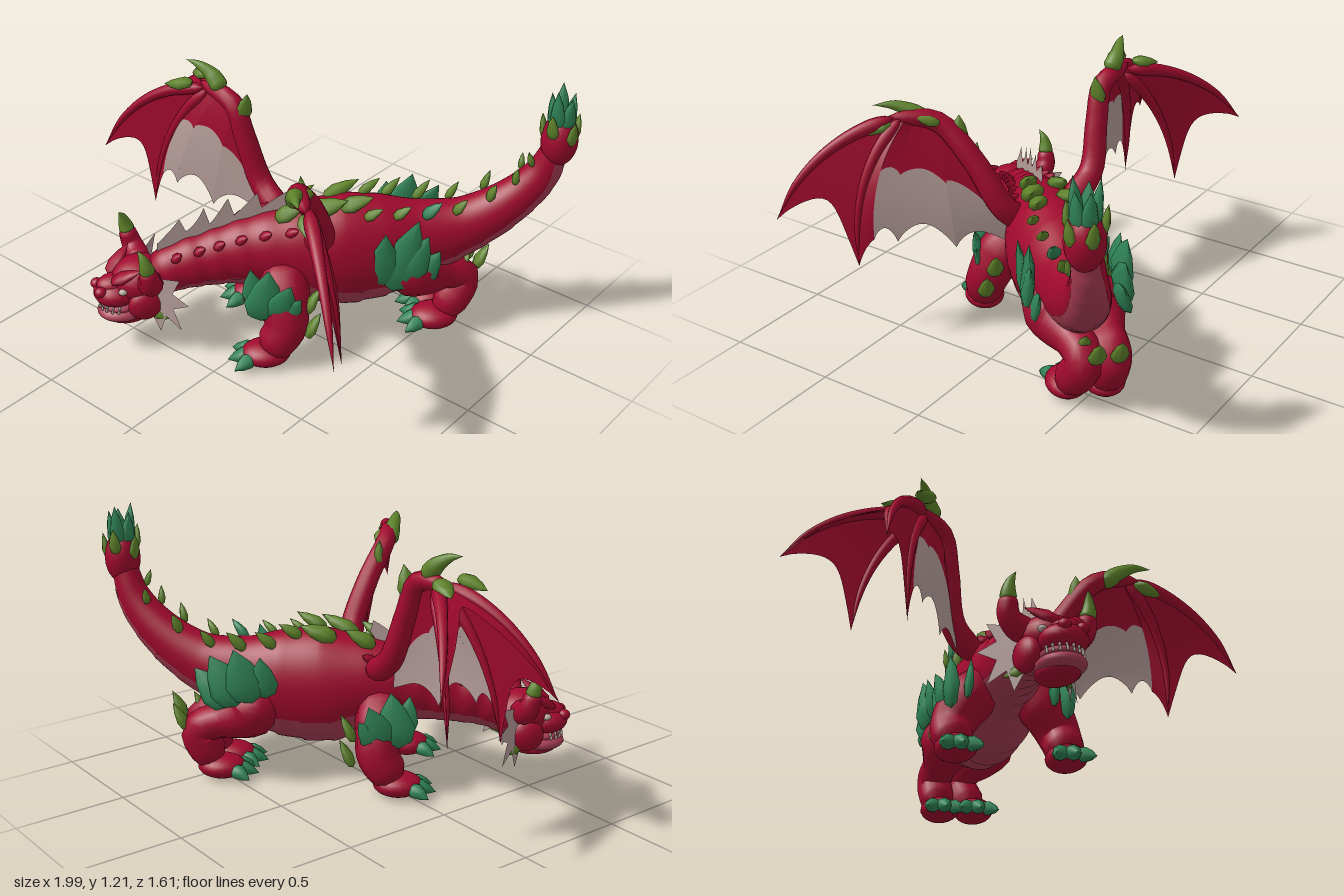
import * as THREE from 'three';
import { mergeVertices } from 'three/addons/utils/BufferGeometryUtils.js';

const V = (x, y, z) => new THREE.Vector3(x, y, z);
const vec = (a) => V(...a);
const paint = (name, color, side = THREE.FrontSide) => {
  const m = new THREE.MeshStandardMaterial({ color, side });
  m.name = name;
  return m;
};

export function createModel() {
  const root = new THREE.Group();
  root.name = 'dragon';
  const red = paint('crimson hide', 0xa0092e, THREE.DoubleSide);
  const pink = paint('rose belly', 0xa83c54, THREE.DoubleSide);
  const pale = paint('pale membrane', 0xb59d9a, THREE.DoubleSide);
  const teal = paint('teal plate', 0x2f8256);
  const olive = paint('olive spike', 0x5e832a);
  const ivory = paint('ivory teeth', 0xb8a8a0);

  const add = (name, geo, mat, parent = root) => {
    const m = new THREE.Mesh(geo, mat);
    m.name = name;
    parent.add(m);
    return m;
  };
  // Smooth grid surface; it faces along du x dv
  const surf = (fn, nu, nv) => {
    const pos = [], idx = [], w = nv + 1;
    for (let i = 0; i <= nu; i++) for (let j = 0; j <= nv; j++) pos.push(...fn(i / nu, j / nv).toArray());
    for (let i = 0; i < nu; i++) for (let j = 0; j < nv; j++) {
      const a = i * w + j, b = a + w;
      idx.push(a, b, a + 1, b, b + 1, a + 1);
    }
    let g = new THREE.BufferGeometry();
    g.setAttribute('position', new THREE.Float32BufferAttribute(pos, 3));
    g.setIndex(idx);
    g = mergeVertices(g, 1e-5);
    g.computeVertexNormals();
    return g;
  };
  // Rounded limb through points with a radius at each
  const limb = (name, pts, radii, mat, parent = root) => {
    const c = new THREE.CatmullRomCurve3(pts.map(vec)), n = 20, f = c.computeFrenetFrames(n);
    const g = surf((u, v) => {
      const i = Math.round(u * n), s = u * (radii.length - 1), k = Math.min(Math.floor(s), radii.length - 2);
      const r = THREE.MathUtils.lerp(radii[k], radii[k + 1], s - k) * Math.min(1, Math.sqrt(Math.min(u, 1 - u) * 8));
      const a = v * Math.PI * 2;
      return c.getPointAt(u).addScaledVector(f.normals[i], r * Math.cos(a)).addScaledVector(f.binormals[i], -r * Math.sin(a));
    }, n, 12);
    return add(name, g, mat, parent);
  };
  const ball = (name, p, r, mat, parent = root) => {
    const m = add(name, new THREE.SphereGeometry(1, 20, 14), mat, parent);
    m.position.set(...p);
    m.scale.set(...r);
    return m;
  };
  // Flattened pointed scale: grows along dir, flat side faces normal
  const leafGeo = new THREE.LatheGeometry([[0, 0], [0.36, 0.1], [0.5, 0.35], [0.32, 0.7], [0, 1]].map(p => new THREE.Vector2(...p)), 8);
  const leaf = (name, mat, p, dir, normal, len, width, thick = 0.45, parent = root) => {
    const m = add(name, leafGeo, mat, parent);
    const y = vec(dir).normalize(), x = y.clone().cross(vec(normal)).normalize(), z = x.clone().cross(y);
    m.quaternion.setFromRotationMatrix(new THREE.Matrix4().makeBasis(x, y, z));
    m.position.set(...p);
    m.scale.set(width, len, width * thick);
    return m;
  };

  // Spine from neck to tail: centre, half width, half height
  const spine = [
    [-.40, .29, .50, .08, .08], [-.31, .37, .40, .10, .11], [-.20, .41, .28, .115, .13], [-.08, .44, .16, .135, .16],
    [.05, .45, .03, .17, .2], [.20, .425, -.12, .195, .265], [.33, .43, -.26, .18, .245], [.46, .46, -.40, .14, .18],
    [.60, .52, -.53, .11, .13], [.74, .64, -.64, .09, .1], [.84, .78, -.705, .07, .078], [.89, .93, -.725, .055, .055]];
  const path = new THREE.CatmullRomCurve3(spine.map(s => V(s[0], s[1], s[2])));
  const girth = new THREE.CatmullRomCurve3(spine.map(s => V(s[3], s[4], 0)));
  const frame = (t) => {
    const fwd = path.getTangent(t).negate(), left = V(0, 1, 0).cross(fwd).normalize();
    return { fwd, left, up: fwd.clone().cross(left), c: path.getPoint(t), g: girth.getPoint(t) };
  };
  const skin = (t, a, k = 1) => {
    const { c, g, left, up } = frame(t);
    return c.addScaledVector(left, Math.cos(a) * g.x * k).addScaledVector(up, Math.sin(a) * g.y * k);
  };
  const D = Math.PI / 180;
  // Hide with neck folds that fade at the shoulders
  const fold = (t) => 1 + 0.05 * Math.max(0, 1 - t / 0.4) * Math.sin(t * 105);
  add('body', surf((u, v) => skin(u, (-30 + v * 240) * D, fold(u)), 110, 28), red);
  add('belly', surf((u, v) => skin(u, (208 + v * 124) * D, 1 + 0.035 * ((u * 20) % 1)), 120, 14), pink);

  // Back spikes in two rows: position along the spine, length, material
  const rows = {
    1: [[.33, .16, olive], [.38, .2, olive], [.44, .16, olive], [.5, .1, olive], [.57, .1, olive], [.64, .12, teal], [.71, .1, olive], [.79, .1, olive], [.86, .09, olive], [.93, .08, olive]],
    '-1': [[.35, .16, olive], [.41, .18, olive], [.5, .12, olive], [.56, .12, olive], [.63, .12, olive], [.7, .1, olive], [.78, .1, olive], [.88, .08, olive]],
  };
  for (const s of [-1, 1]) rows[s].forEach(([t, len, mat], i) => {
    const f = frame(t), out = f.up.clone().addScaledVector(f.left, s * 0.4);
    const dir = f.fwd.clone().multiplyScalar(-1).addScaledVector(out, i < 3 ? 0.6 : 0.7);
    leaf('backSpike', mat, skin(t, (90 - s * (i < 3 ? 18 : 34)) * D, 0.96).toArray(), dir.toArray(), out.toArray(), len, len * .55, 0.7);
  });
  // Neck studs and crest
  for (let i = 0; i < 6; i++) for (const s of [-1, 1]) {
    const t = 0.1 + i * 0.05, f = frame(t), out = f.up.clone().addScaledVector(f.left, s);
    leaf('neckStud', red, skin(t, (90 - s * 45) * D, 0.9).toArray(), out.addScaledVector(f.fwd, -1.2).toArray(), f.up.toArray(), 0.075, 0.055, 0.8);
  }
  add('neckCrest', surf((u, v) => {
    const t = 0.07 + u * 0.28, h = 0.045 + 0.1 * ((u * 5) % 1) ** 1.3 * (0.5 + 0.5 * Math.sin(u * 3));
    const f = frame(t);
    return skin(t, 90 * D, 0.95).addScaledVector(f.up, h * v).addScaledVector(f.fwd, -0.03 * v);
  }, 60, 1), pale);

  // Tail tip: bulb, olive ring, teal crystals
  ball('tailBulb', [.9, .965, -.725], [.08, .12, .08], red);
  for (let i = 0; i < 5; i++) {
    const a = i * Math.PI * .4 + .3, c = Math.cos(a), s = Math.sin(a);
    leaf('tailSpike', olive, [.9 + c * .066, .96 + (i % 2) * .03, -.725 + s * .066], [c * .14, 1, s * .14], [c, 0, s], .12, .06, .6);
    leaf('tailCrystal', teal, [.9 + c * .028, 1.0, -.725 + s * .028], [c * .13, 1, s * .13], [c, 0, s], i % 2 ? .21 : .18, .075, .7);
  }

  // Legs
  const mirror = ([x, y, z]) => [.08 - z, y, .08 - x];
  const leg = (name, pts, radii) => {
    const g = new THREE.Group();
    g.name = name;
    root.add(g);
    limb(name + 'Limb', pts, radii, red, g);
    const [x, , z] = pts[pts.length - 1];
    const foot = ball(name + 'Foot', [x, .055, z], [.09, .055, .11], red, g);
    foot.rotation.y = -Math.PI / 4;
    for (const k of [-1, 0, 1]) {
      const a = -Math.PI / 4 + k * .55, dx = Math.sin(a), dz = Math.cos(a);
      leaf('claw', teal, [x + dx * .06, .06, z + dz * .06], [dx, -.32, dz], [0, 1, 0], .115, .075, .9, g);
    }
  };
  const front = [[.07, .42, .1], [.14, .31, .19], [.19, .18, .24], [.13, .06, .3]];
  const frontR = [.09, .115, .095, .08];
  leg('frontLeftLeg', front, frontR);
  leg('frontRightLeg', front.map(mirror).map(([x, y, z]) => [x, y, z + .02]), frontR);
  const hindR = [.1, .125, .08, .085, .08];
  leg('hindLeftLeg', [[.42, .46, -.22], [.48, .33, -.31], [.585, .24, -.53], [.57, .12, -.47], [.53, .06, -.41]], hindR);
  leg('hindRightLeg', [[.28, .46, -.4], [.33, .33, -.43], [.49, .23, -.6], [.47, .12, -.57], [.43, .06, -.53]], hindR);
  // Olive spurs behind elbows and hocks
  for (const [x, y, z] of [[.61, .25, -.6], [.57, .24, -.51], [.52, .23, -.65], [.27, .14, .19], [.24, .24, .16], mirror([.27, .14, .19]), mirror([.24, .24, .16])])
    leaf('legSpur', olive, [x, y, z], [.35, 1, -.35], [.7, 0, -.7], .14, .08, .6);

  // Shoulder and hip plates: start, direction, length, width, upward tilt; mirrored outward
  const plates = (name, list, s, tilt) => list.forEach(([p, d, l, w]) => leaf(name, teal, p, d, [s, tilt, s], l, w, .4));
  const shoulder = [[[.12, .23, .32], [.1, 1, -.1], .26, .17], [[.17, .25, .29], [.4, 1, -.15], .2, .13], [[.06, .27, .29], [-.12, 1, .02], .18, .1], [[.2, .24, .27], [.6, 1, -.3], .15, .1]];
  plates('shoulderPlate', shoulder, 1, .25);
  plates('shoulderPlate', shoulder.map(([p, d, l, w]) => [mirror(p), [-d[2], d[1], -d[0]], l, w]), -1, .25);
  plates('hipPlate', [[[.46, .28, -.17], [.22, 1, -.18], .38, .18], [[.43, .31, -.14], [.08, 1, .08], .29, .14], [[.5, .33, -.19], [.32, 1, -.32], .26, .15], [[.54, .32, -.25], [.4, 1, -.5], .18, .12]], 1, .35);
  plates('hipPlate', [[[.24, .4, -.48], [.18, 1, -.25], .26, .18], [[.29, .38, -.52], [.45, 1, -.35], .26, .17], [[.33, .37, -.55], [.8, 1, -.5], .23, .14], [[.21, .42, -.43], [-.05, 1, -.15], .2, .13]], -1, .8);

  // Wings: fingers run from the arm (o) to the trailing edge (e), bowed by b
  const wing = (name, arm, fingers, panels) => {
    const g = new THREE.Group();
    g.name = name;
    root.add(g);
    limb(name + 'Arm', arm, [.065, .055, .05, .045, .03], red, g);
    const at = (f0, f1, u, v) => {
      const mix = (k) => vec(f0[k]).lerp(vec(f1[k]), u);
      const o = mix('o'), e = mix('e'), c = o.clone().lerp(e, .5).add(mix('b'));
      return o.multiplyScalar((1 - v) ** 2).addScaledVector(c, 2 * v * (1 - v)).addScaledVector(e, v * v);
    };
    fingers.filter(f => f.r).forEach((f) => limb('wingFinger', [0, .25, .5, .75, 1].map(v => at(f, f, 0, v).toArray()), [f.r, f.r * .8, f.r * .6, f.r * .4, 0], red, g));
    panels.forEach(([sag, share], i) => {
      const part = (a, b) => surf((u, v) => at(fingers[i], fingers[i + 1], u, (a + v * (b - a)) * (1 - sag * Math.sin(Math.PI * u) ** .8)), 14, 12);
      add('wingSkin', part(0, share), red, g);
      if (share < 1) add('wingMembrane', part(share, 1), pale, g);
    });
    return g;
  };
  wing('rightWing',
    [[-.02, .52, -.03], [-.2, .63, -.06], [-.28, .85, -.04], [-.34, 1.0, -.03], [-.55, 1.04, -.04]],
    [{ o: [-.48, 1.02, -.06], e: [-.74, .42, -.2], b: [-.1, .06, -.05], r: .03 },
      { o: [-.5, 1.03, -.06], e: [-.95, .72, -.42], b: [-.09, .12, -.04], r: .035 },
      { o: [-.5, 1.03, -.02], e: [-1, .63, .15], b: [-.11, .14, 0], r: .035 },
      { o: [-.48, 1.03, -.03], e: [-.75, .39, .08], b: [-.12, .08, .02], r: .03 },
      { o: [-.46, 1.03, -.03], e: [-.7, .55, .07], b: [-.09, .05, .03] },
      { o: [-.42, 1.02, -.03], e: [-.62, .53, .06], b: [-.06, .03, .04] },
      { o: [-.33, .98, -.03], e: [-.43, .47, .02], b: [-.02, 0, .03] },
      { o: [-.22, .66, -.05], e: [-.2, .5, -.04], b: [0, 0, 0] }],
    [[.25, 1], [.72, 1], [.25, 1], [.03, 1], [.08, .42], [.18, .38], [.18, .38]]);
  wing('leftWing',
    [[.12, .5, .03], [.26, .6, .08], [.31, .82, .21], [.36, .98, .36], [.52, 1.02, .5]],
    [{ o: [.5, 1.02, .47], e: [.9, .62, .8], b: [.08, .12, .08], r: .035 },
      { o: [.48, 1.02, .45], e: [.72, .40, .52], b: [.11, .09, .08], r: .03 },
      { o: [.46, 1.02, .43], e: [.67, .52, .47], b: [.11, .06, .03] },
      { o: [.43, 1.01, .42], e: [.6, .5, .4], b: [.09, .03, -.01] },
      { o: [.35, .96, .35], e: [.43, .45, .22], b: [.06, 0, -.04] },
      { o: [.28, .66, .13], e: [.21, .41, .07], b: [0, 0, 0] }],
    [[.28, 1], [.03, 1], [.1, .46], [.18, .45], [.18, .42]]);
  // Wing claws and knuckle spikes
  const claw = (pts, r) => limb('wingClaw', pts, [r, r * .9, r * .5, 0], olive);
  claw([[-.4, 1.04, -.03], [-.46, 1.1, -.03], [-.52, 1.14, -.01], [-.58, 1.155, .01]], .042);
  claw([[.36, .96, .38], [.41, 1.02, .44], [.46, 1.055, .5], [.53, 1.065, .56]], .042);
  for (const [p, d, n] of [[[-.53, 1.06, -.08], [-1, -.25, -.35], [0, 1, 0]], [[-.53, 1.06, .03], [-1, -.25, .2], [0, 1, 0]], [[-.3, .92, -.04], [.25, 1, 0], [1, 0, .3]],
    [[.5, 1.0, .48], [.7, -.3, .6], [0, 1, 0]], [[.32, .86, .28], [-.1, 1, 0], [-1, 0, 1]], [[.36, .98, .33], [.4, .2, .5], [0, 1, 0]]])
    leaf('wingSpike', olive, p, d, n, .15, .09, .6);

  // Head
  const head = new THREE.Group();
  head.name = 'head';
  head.position.set(-.42, .27, .53);
  head.rotation.y = -.53;
  root.add(head);
  ball('cranium', [0, .06, -.01], [.125, .1, .13], red, head);
  ball('upperSnout', [0, .015, .1], [.1, .062, .1], red, head);
  ball('noseBridge', [0, .055, .1], [.06, .045, .085], red, head);
  ball('mouth', [0, -.045, .08], [.088, .03, .09], pink, head);
  ball('lowerJaw', [0, -.105, .05], [.085, .038, .105], red, head);
  ball('lowerLip', [0, -.082, .075], [.1, .042, .113], pink, head);
  for (const s of [-1, 1]) {
    ball('cheek', [s * .1, -.02, -.01], [.045, .075, .08], red, head);
    ball('nostril', [s * .04, .045, .175], [.026, .024, .028], red, head);
    ball('eye', [s * .085, .055, .085], [.018, .014, .02], ivory, head);
    leaf('brow', red, [s * .035, .085, .125], [s * .5, .5, -.7], [0, 1, .4], .17, .08, .6, head);
    limb('hornBase', [[s * .06, .09, -.03], [s * .13, .1, -.03], [s * .175, .14, -.02], [s * .18, .22, 0]], [.055, .055, .045, .036], red, head);
    limb('hornTip', [[s * .18, .19, -.01], [s * .185, .23, 0], [s * .18, .27, .01], [s * .165, .31, .03]], [.038, .03, .018, 0], olive, head);
    leaf('jawSpike', olive, [s * .1, -.07, -.03], [s * .6, -.2, -1], [s, 0, 0], .1, .05, .6, head);
    // Spiny cheek frill
    const fan = new THREE.Shape([[0, .1], [.16, .13], [.12, .05], [.2, .01], [.12, -.03], [.16, -.13], [.08, -.08], [.05, -.17], [0, -.08]].map(p => new THREE.Vector2(p[0] * s, p[1])));
    const frill = add('cheekFrill', new THREE.ShapeGeometry(fan), pale, head);
    frill.position.set(s * .09, .01, -.03);
    frill.rotation.y = s * .75;
  }
  for (let i = 0; i < 9; i++) {
    const a = (-72 + i * 18) * D, x = Math.sin(a) * .086, z = .08 + Math.cos(a) * .096;
    leaf('lowerTooth', ivory, [x, -.06, z], [0, 1, 0], [0, 0, 1], i % 3 ? .022 : .032, .013, 1, head);
    leaf('upperTooth', ivory, [x, -.022, z - .005], [0, -1, 0], [0, 0, 1], .022, .013, 1, head);
  }
  return root;
}
